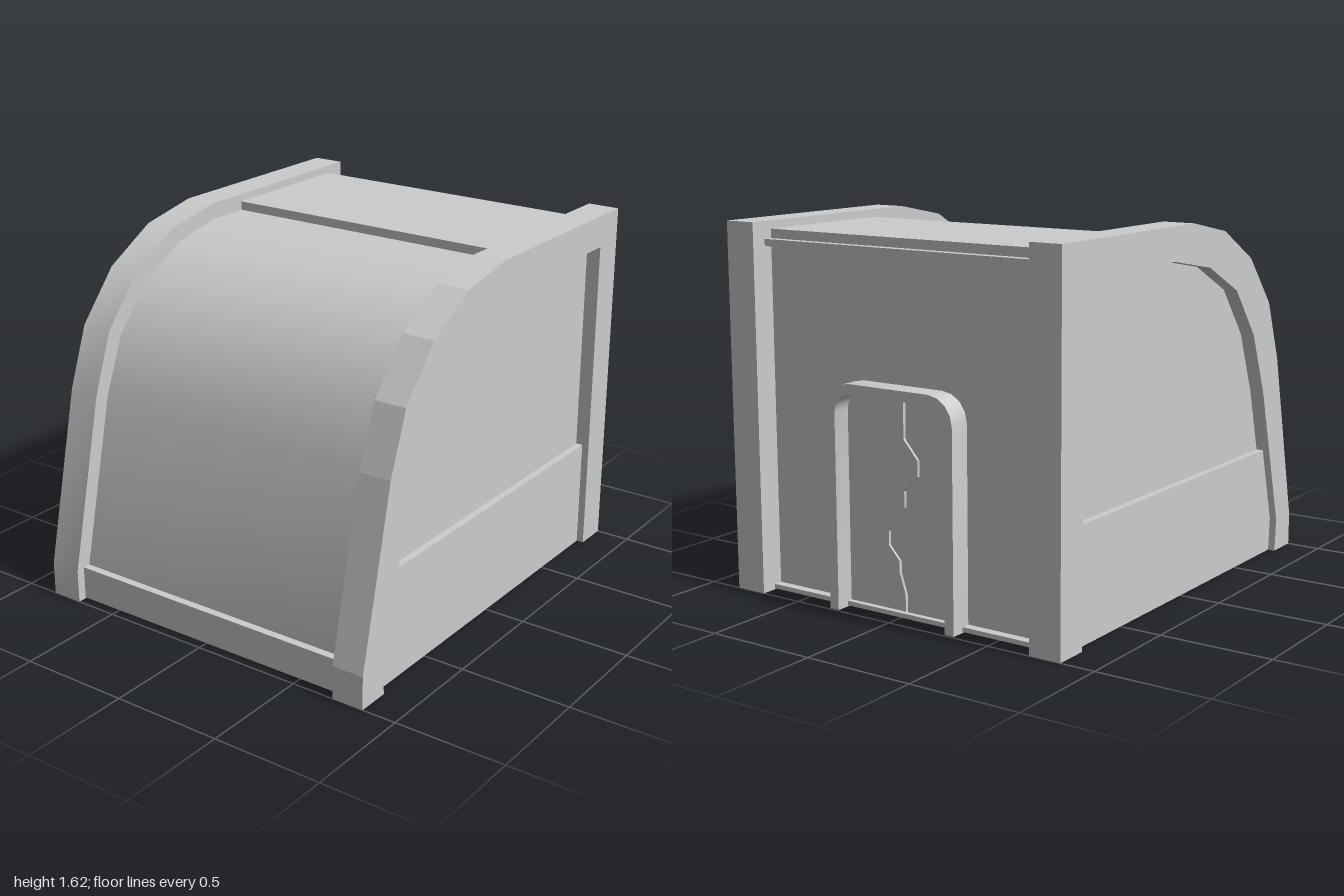
import * as THREE from 'three';
import { toCreasedNormals } from 'three/addons/utils/BufferGeometryUtils.js';

const material = new THREE.MeshStandardMaterial({ color: 0xcccccc });

// Side profiles as [z, y], running from the front foot over the roof to the back foot
const outer = [[1, 0], [1, 0.15], [0.82, 0.93], [0.72, 1.2], [0.53, 1.42], [0.28, 1.56], [0, 1.615], [-1, 1.615], [-1, 0]];
const inner = [[0.85, 0], [0.86, 0.15], [0.685, 0.79], [0.575, 1.07], [0.4, 1.29], [0.15, 1.415], [-0.16, 1.47], [-0.845, 1.47], [-0.845, 0]];
const shell = [[0.925, 0], [0.925, 0.155], [0.75, 0.91], [0.65, 1.16], [0.475, 1.365], [0.25, 1.487], [0.0, 1.54], [-0.89, 1.54], [-0.89, 0]];
const lower = [[0.85, 0], [0.86, 0.15], [0.765, 0.5], [-0.845, 0.5], [-0.845, 0]];

const shapeOf = (points) => new THREE.Shape(points.map(([a, b]) => new THREE.Vector2(a, b)));

function addMesh(group, name, geometry) {
  const mesh = new THREE.Mesh(geometry, material);
  mesh.name = name;
  group.add(mesh);
  return mesh;
}

// Extrudes a [z, y] profile along x between x0 and x1
function slab(points, x0, x1, crease = 0.1) {
  const geometry = new THREE.ExtrudeGeometry(shapeOf(points), { depth: x1 - x0, bevelEnabled: false });
  geometry.rotateY(-Math.PI / 2);
  geometry.translate(x1, 0, 0);
  return toCreasedNormals(geometry, crease);
}

// Box given by its limits
function block(x0, x1, y0, y1, z0, z1) {
  const geometry = new THREE.BoxGeometry(x1 - x0, y1 - y0, z1 - z0);
  return geometry.translate((x0 + x1) / 2, (y0 + y1) / 2, (z0 + z1) / 2);
}

// Open-bottomed arch outline with rounded shoulders
function archPoints(halfWidth, height, radius) {
  const points = [[halfWidth, 0]];
  for (const side of [1, -1]) {
    for (let i = 0; i <= 4; i++) {
      const t = ((side > 0 ? i : 4 - i) / 4) * Math.PI / 2;
      points.push([side * (halfWidth - radius + radius * Math.cos(t)), height - radius + radius * Math.sin(t)]);
    }
  }
  points.push([-halfWidth, 0]);
  return points;
}

// Extrudes an [x, y] outline along z between z0 and z1
function upright(points, z0, z1) {
  const geometry = new THREE.ExtrudeGeometry(shapeOf(points), { depth: z1 - z0, bevelEnabled: false });
  return toCreasedNormals(geometry.translate(0, 0, z0), 0.5);
}

export function createModel() {
  const model = new THREE.Group();
  model.name = 'shelter';

  // Curved shell between the two side arches
  addMesh(model, 'shell', slab(shell, -0.72, 0.72, 0.5));
  addMesh(model, 'frontSill', block(-0.71, 0.71, 0.005, 0.155, 0.8, 0.96));
  addMesh(model, 'roofPlate', block(-0.71, 0.71, 1.5, 1.58, -0.89, -0.205));
  addMesh(model, 'rearRoofLip', block(-0.71, 0.71, 1.51, 1.54, -0.93, -0.85));
  addMesh(model, 'rearSill', block(-0.71, 0.71, 0.005, 0.025, -0.93, -0.85));

  // Side arches with recessed wall panels
  for (const side of [1, -1]) {
    const wall = new THREE.Group();
    wall.name = side > 0 ? 'leftSide' : 'rightSide';
    const span = (a, b) => (side > 0 ? [a, b] : [-b, -a]);
    const arch = [...outer, ...[...inner].reverse()];
    addMesh(wall, 'sideArch', slab(arch, ...span(0.698, 0.845), side > 0 ? 0.1 : 0.5));
    addMesh(wall, 'upperPanel', slab(inner, ...span(0.7, 0.78)));
    addMesh(wall, 'lowerPanel', slab(lower, ...span(0.7, 0.812)));
    model.add(wall);
  }

  // Rear doorway: thin projecting surround
  const surround = [...archPoints(0.325, 0.98, 0.12), ...archPoints(0.28, 0.935, 0.085).reverse()];
  addMesh(model, 'doorSurround', upright(surround, -0.99, -0.88));

  // Two door leaves meeting along a jagged seam
  const seam = [[-0.02, 0], [-0.02, 0.1], [0.01, 0.19], [0.01, 0.24], [0.065, 0.3], [0.065, 0.36], [-0.02, 0.47], [-0.02, 0.54], [-0.09, 0.61], [-0.09, 0.68], [-0.02, 0.76], [-0.02, 0.935]];
  const jamb = archPoints(0.28, 0.935, 0.085);
  for (const side of [1, -1]) {
    const edge = seam.map(([x, y]) => [x + side * 0.006, y]);
    const outline = jamb.filter(([x]) => x * side > 0);
    const points = side > 0 ? [...outline, ...edge.reverse()] : [...outline, ...edge];
    addMesh(model, side > 0 ? 'leftDoorLeaf' : 'rightDoorLeaf', upright(points, -0.905, -0.88));
  }
  return model;
}
